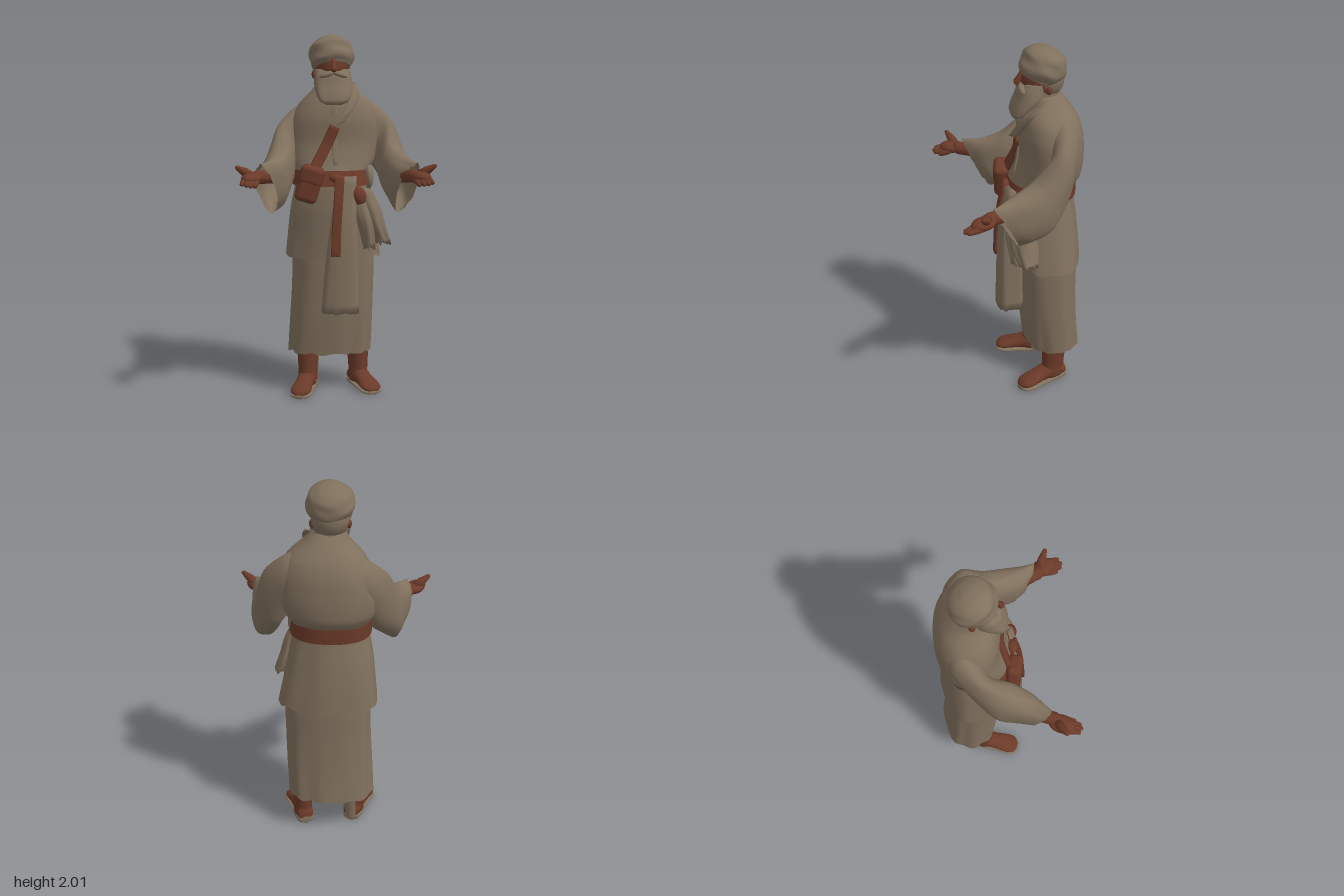
import * as THREE from 'three';
import { RoundedBoxGeometry } from 'three/addons/geometries/RoundedBoxGeometry.js';

const cloth = new THREE.MeshStandardMaterial({ color: 0x80705d, side: THREE.DoubleSide });
const brown = new THREE.MeshStandardMaterial({ color: 0x6b3a29, side: THREE.DoubleSide });
cloth.name = 'undyed cloth';
brown.name = 'skin and leather brown';

const vec = (a) => new THREE.Vector3(...a);

// Skins smooth rings through sections [centre, up half-axis, side half-axis].
function loft(sections, o = {}) {
  const { n = 40, p = 2, steps = 5, folds = 0, amp = 0, twist = 0, jag = 0, caps = true, fade = (t) => t } = o;
  const [C, U, S] = [0, 1, 2].map((k) =>
    new THREE.CatmullRomCurve3(sections.map((s) => vec(s[k])), false, 'catmullrom', 0.4));
  const rows = (sections.length - 1) * steps;
  const pos = [], idx = [];
  const power = (v) => Math.sign(v) * Math.abs(v) ** (2 / p);
  for (let i = 0; i <= rows; i++) {
    const t = i / rows, c = C.getPoint(t), u = U.getPoint(t), s = S.getPoint(t);
    for (let j = 0; j < n; j++) {
      const a = (j / n) * Math.PI * 2;
      const wave = Math.sin(folds * a + twist * t) + 0.5 * Math.sin((folds + 3) * a + 1.3 - twist * t);
      const k = 1 + amp * fade(t) * wave;
      const v = c.clone().addScaledVector(u, k * power(Math.cos(a))).addScaledVector(s, k * power(Math.sin(a)));
      if (i === rows) v.y += jag * (Math.sin(a * 9) + Math.sin(a * 14 + 1));
      pos.push(v.x, v.y, v.z);
    }
  }
  for (let i = 0; i < rows; i++) for (let j = 0; j < n; j++) {
    const a = i * n + j, b = i * n + (j + 1) % n;
    idx.push(a, a + n, b, b, a + n, b + n);
  }
  if (caps) [0, rows].forEach((r) => {
    const c = C.getPoint(r / rows), m = pos.length / 3;
    pos.push(c.x, c.y, c.z);
    for (let j = 0; j < n; j++) {
      const a = r * n + j, b = r * n + (j + 1) % n;
      idx.push(...(r ? [m, b, a] : [m, a, b]));
    }
  });
  const g = new THREE.BufferGeometry();
  g.setAttribute('position', new THREE.Float32BufferAttribute(pos, 3));
  g.setIndex(idx);
  g.computeVertexNormals();
  return g;
}

// Upright section from extents: y, min x, max x, back z, front z.
const row = ([y, x0, x1, z0, z1]) => [
  [(x0 + x1) / 2, y, (z0 + z1) / 2], [0, 0, (z1 - z0) / 2], [(x1 - x0) / 2, 0, 0]];
const mirror = ([c, u, s]) => [[-c[0], c[1], c[2]], [-u[0], u[1], u[2]], [s[0], -s[1], -s[2]]];

function add(parent, name, geometry, material, at = [0, 0, 0]) {
  const m = new THREE.Mesh(geometry, material);
  m.name = name;
  m.position.set(...at);
  parent.add(m);
  return m;
}
function ball(parent, name, material, at, scale) {
  const m = add(parent, name, new THREE.SphereGeometry(1, 28, 20), material, at);
  m.scale.set(...scale);
  return m;
}
function limb(parent, name, material, a, b, r0, r1) {
  const A = vec(a), d = vec(b).sub(A), L = d.length();
  const pts = [[0, 0], [r0, 0], [r0, L * 0.4], [r1, L * 0.85], [r1 * 0.7, L * 0.96], [0, L]];
  const m = add(parent, name, new THREE.LatheGeometry(pts.map((q) => new THREE.Vector2(...q)), 12), material, a);
  m.quaternion.setFromUnitVectors(new THREE.Vector3(0, 1, 0), d.normalize());
}
// Flat band along points, given half-width vectors.
const band = (pts, s, thick = 0.01) => loft(pts.map((q) => [q, [0, 0, thick], s]), { p: 5, n: 20 });

export function createModel() {
  const g = new THREE.Group();
  g.name = 'robed traveller';

  // Long skirt and belted tunic
  add(g, 'skirt', loft([
    [0.95, -0.19, 0.22, -0.31, 0.0], [0.78, -0.21, 0.25, -0.33, -0.005], [0.6, -0.213, 0.248, -0.332, -0.015],
    [0.4, -0.222, 0.243, -0.342, -0.03], [0.215, -0.23, 0.235, -0.36, -0.05],
  ].map(row), { n: 80, p: 2.4, folds: 8, amp: 0.024, twist: 1.6, jag: 0.004, caps: false }), cloth);
  add(g, 'tunic', loft([
    [1.755, -0.075, 0.1, -0.225, -0.085], [1.71, -0.095, 0.14, -0.265, -0.055], [1.63, -0.17, 0.23, -0.32, -0.025],
    [1.54, -0.215, 0.265, -0.348, -0.01], [1.42, -0.235, 0.27, -0.355, -0.015], [1.32, -0.23, 0.25, -0.347, 0.005],
    [1.25, -0.2, 0.21, -0.312, 0.03], [1.18, -0.2, 0.21, -0.31, 0.045], [1.05, -0.225, 0.235, -0.328, 0.045],
    [0.9, -0.242, 0.265, -0.342, 0.03], [0.78, -0.254, 0.29, -0.348, 0.02],
  ].map(row), { n: 72, p: 2.25, folds: 6, amp: 0.018, twist: 2, jag: 0.004, caps: false }), cloth);
  add(g, 'belt', loft([
    [1.27, -0.21, 0.215, -0.325, 0.038], [1.225, -0.212, 0.22, -0.324, 0.052], [1.185, -0.212, 0.225, -0.322, 0.062],
  ].map(row), { n: 60, p: 2.3, caps: false }), brown);
  ball(g, 'sideFold', cloth, [0.207, 1.225, -0.1], [0.03, 0.075, 0.085]);

  // Folded lapel and chest seam
  add(g, 'lapel', band([[0.105, 1.735, -0.12], [0.125, 1.67, -0.045], [0.085, 1.59, -0.005], [0.03, 1.52, 0.015]], [0.034, 0.014, -0.016]), cloth);
  add(g, 'frontSeam', band([[0.01, 1.62, -0.025], [0.012, 1.42, -0.014], [0.02, 1.3, 0.01]], [0.014, 0, 0]), cloth);

  // Wide sleeves sloping off the shoulders, slightly different on each side
  const sleeve = [
    [[-0.07, 1.52, -0.2], [0, 0.12, 0], [0, 0, 0.11]],
    [[-0.155, 1.475, -0.195], [-0.02, 0.14, 0], [0.045, 0, 0.085]],
    [[-0.245, 1.365, -0.135], [-0.03, 0.15, 0.02], [0.053, 0, 0.045]],
    [[-0.293, 1.26, -0.025], [0, 0.14, 0.035], [0.083, 0, 0.03]],
    [[-0.325, 1.205, 0.07], [-0.015, 0.14, 0.05], [0.072, 0, 0.03]],
    [[-0.365, 1.185, 0.14], [-0.035, 0.135, 0.07], [0.05, 0, 0.015]],
  ];
  const leftShift = [0.05, 0.05, 0.06, 0.055, 0.05, 0.03];
  const leftSleeve = sleeve.map(mirror).map(([c, u, s], i) =>
    [[c[0] + leftShift[i], c[1] + (i < 3 ? 0.025 : 0), c[2] - (i === 2 || i === 3 ? 0.035 : 0)], u, s]);
  [['rightSleeve', sleeve], ['leftSleeve', leftSleeve]].forEach(([name, s]) =>
    add(g, name, loft(s, { n: 48, steps: 7, folds: 4, amp: 0.035, twist: 7, jag: 0.004, caps: false }), cloth));

  // Forearms and open hands, palms up, thumbs outward
  [-1, 1].forEach((side) => {
    const arm = new THREE.Group();
    arm.name = side < 0 ? 'rightHand' : 'leftHand';
    const P = (x, y, z) => [side * x, y, z];
    limb(arm, 'forearm', brown, P(0.325, 1.24, 0.02), P(0.432, 1.264, 0.27), 0.036, 0.036);
    const palm = ball(arm, 'palm', brown, P(0.446, 1.258, 0.265), [0.05, 0.032, 0.07]);
    palm.rotation.y = side * 0.4;
    for (let i = 0; i < 4; i++) {
      const spread = i * 0.02, len = [0.345, 0.37, 0.375, 0.36][i];
      limb(arm, 'finger', brown, P(0.418 + spread, 1.25, 0.275), P(0.43 + spread * 1.1, 1.222 + i * 0.005, len), 0.018, 0.013);
    }
    limb(arm, 'thumb', brown, P(0.445, 1.27, 0.245), P(0.527, 1.324, 0.285), 0.024, 0.013);
    g.add(arm);
  });

  // Legs, feet and pale soles that rise around the heel
  [['rightLeg', -0.13, -0.14, -0.29], ['leftLeg', 0.165, -0.185, 0.32]].forEach(([name, x, z, yaw]) => {
    const leg = new THREE.Group();
    leg.name = name;
    leg.position.set(x, 0, z);
    leg.rotation.y = yaw;
    add(leg, 'shin', loft([
      [0.4, -0.065, 0.065, -0.08, 0.07], [0.2, -0.058, 0.058, -0.075, 0.065],
      [0.1, -0.052, 0.052, -0.068, 0.065], [0.03, -0.05, 0.05, -0.07, 0.08],
    ].map(row), { n: 24 }), brown);
    const foot = [[-0.078, 0.02, 0.02], [-0.06, 0.04, 0.045], [0.02, 0.052, 0.05], [0.09, 0.04, 0.05], [0.16, 0.027, 0.058], [0.2, 0.02, 0.05], [0.222, 0.01, 0.02]];
    add(leg, 'foot', loft(foot.map(([d, h, w]) => [[0, 0.012 + h, d], [0, h, 0], [w, 0, 0]]), { n: 24 }), brown);
    add(leg, 'sole', loft(foot.map(([d, , w], i) => {
      const h = [0.022, 0.02, 0.014, 0.01, 0.01, 0.01, 0.01][i];
      return [[0, h, d * 1.02], [0, h, 0], [w + 0.002, 0, 0]];
    }), { n: 24, p: 2.6 }), cloth);
    g.add(leg);
  });
  // Cloth wrapping behind the right ankle
  const wrap = add(g.getObjectByName('rightLeg'), 'ankleWrap',
    new THREE.CylinderGeometry(0.063, 0.058, 0.21, 20, 1, true, Math.PI * 0.47, Math.PI * 0.7), cloth, [0, 0.12, -0.004]);
  wrap.scale.z = 1.38;

  // Head with wound turban and full beard
  const head = new THREE.Group();
  head.name = 'head';
  add(head, 'neck', new THREE.CylinderGeometry(0.07, 0.08, 0.16, 24), cloth, [0.01, 1.76, -0.155]);
  ball(head, 'face', brown, [0.006, 1.835, -0.128], [0.092, 0.12, 0.102]);
  ball(head, 'hair', cloth, [0.006, 1.83, -0.168], [0.099, 0.105, 0.09]);
  limb(head, 'nose', brown, [0.008, 1.885, -0.04], [0.009, 1.805, 0.002], 0.012, 0.018);
  [-1, 1].forEach((s) => {
    ball(head, 'ear', brown, [0.006 + s * 0.094, 1.79, -0.155], [0.014, 0.024, 0.017]);
    const half = ball(head, 'moustache', cloth, [0.009 + s * 0.035, 1.79, -0.027], [0.045, 0.017, 0.022]);
    half.rotation.z = -s * 0.3;
  });
  add(head, 'beard', loft([
    [1.82, -0.085, 0.1, -0.15, -0.045], [1.785, -0.092, 0.108, -0.15, -0.015], [1.74, -0.095, 0.115, -0.14, 0.0],
    [1.69, -0.088, 0.108, -0.09, 0.02], [1.65, -0.07, 0.09, -0.04, 0.03], [1.628, -0.035, 0.05, -0.015, 0.022],
  ].map(row), { n: 48, p: 2.5, folds: 5, amp: 0.04 }), cloth);
  const turban = add(head, 'turban', loft([
    [-0.082, 0.095], [-0.06, 0.113], [-0.02, 0.123], [0.025, 0.121], [0.062, 0.1], [0.088, 0.062], [0.1, 0.012],
  ].reverse().map(([y, r]) => row([y, -r, r, -r, r])), { n: 56, steps: 7, folds: 1, amp: 0.03, twist: 18, fade: (t) => Math.min(1, t * 2) }), cloth, [0.007, 1.9, -0.147]);
  turban.rotation.set(-0.42, 0, 0.04);
  g.add(head);

  // Chest strap and satchel
  add(g, 'chestStrap', band([[0.015, 1.51, -0.008], [-0.03, 1.41, -0.01], [-0.1, 1.28, 0.025]], [0.027, -0.013, 0], 0.016), brown);
  const bag = new THREE.Group();
  bag.name = 'satchel';
  bag.position.set(-0.13, 1.2, 0.05);
  bag.rotation.set(0, -0.25, -0.28);
  add(bag, 'bagBody', new RoundedBoxGeometry(0.125, 0.2, 0.075, 4, 0.03), brown);
  add(bag, 'bagFlap', new RoundedBoxGeometry(0.13, 0.11, 0.082, 4, 0.03), brown, [0, 0.05, 0]);
  g.add(bag);

  // Knotted belt end, pouch and hanging cloths
  add(g, 'hangingSash', loft([
    [1.24, 0.03, 0.13, 0, 0.068], [1.0, -0.01, 0.13, 0.0, 0.105], [0.75, -0.04, 0.142, -0.02, 0.115], [0.49, -0.06, 0.145, -0.025, 0.12],
  ].map(row), { p: 3, folds: 3, amp: 0.04, jag: 0.004 }), cloth);
  add(g, 'beltTail', band([[0.035, 1.24, 0.07], [0.025, 1.1, 0.095], [0.014, 0.95, 0.108], [0.01, 0.81, 0.113]], [0.026, 0, 0], 0.012), brown);
  const knot = ball(g, 'beltKnot', brown, [0.02, 1.23, 0.055], [0.045, 0.026, 0.026]);
  knot.rotation.z = -0.3;
  const pouch = ball(g, 'pouch', brown, [0.14, 1.135, 0.055], [0.042, 0.055, 0.035]);
  pouch.rotation.z = 0.3;
  [
    [[1.17, 0.13, 0.21, -0.01, 0.06], [1.06, 0.15, 0.265, -0.05, 0.075], [0.96, 0.18, 0.295, -0.07, 0.07], [0.87, 0.22, 0.325, -0.06, 0.04]],
    [[1.12, 0.1, 0.19, 0, 0.07], [1.0, 0.13, 0.22, 0.0, 0.09], [0.85, 0.17, 0.235, 0.0, 0.07]],
  ].forEach((rows) => add(g, 'hangingRag',
    loft(rows.map(row), { n: 48, folds: 5, amp: 0.09, twist: 2, jag: 0.01 }), cloth));

  return g;
}
